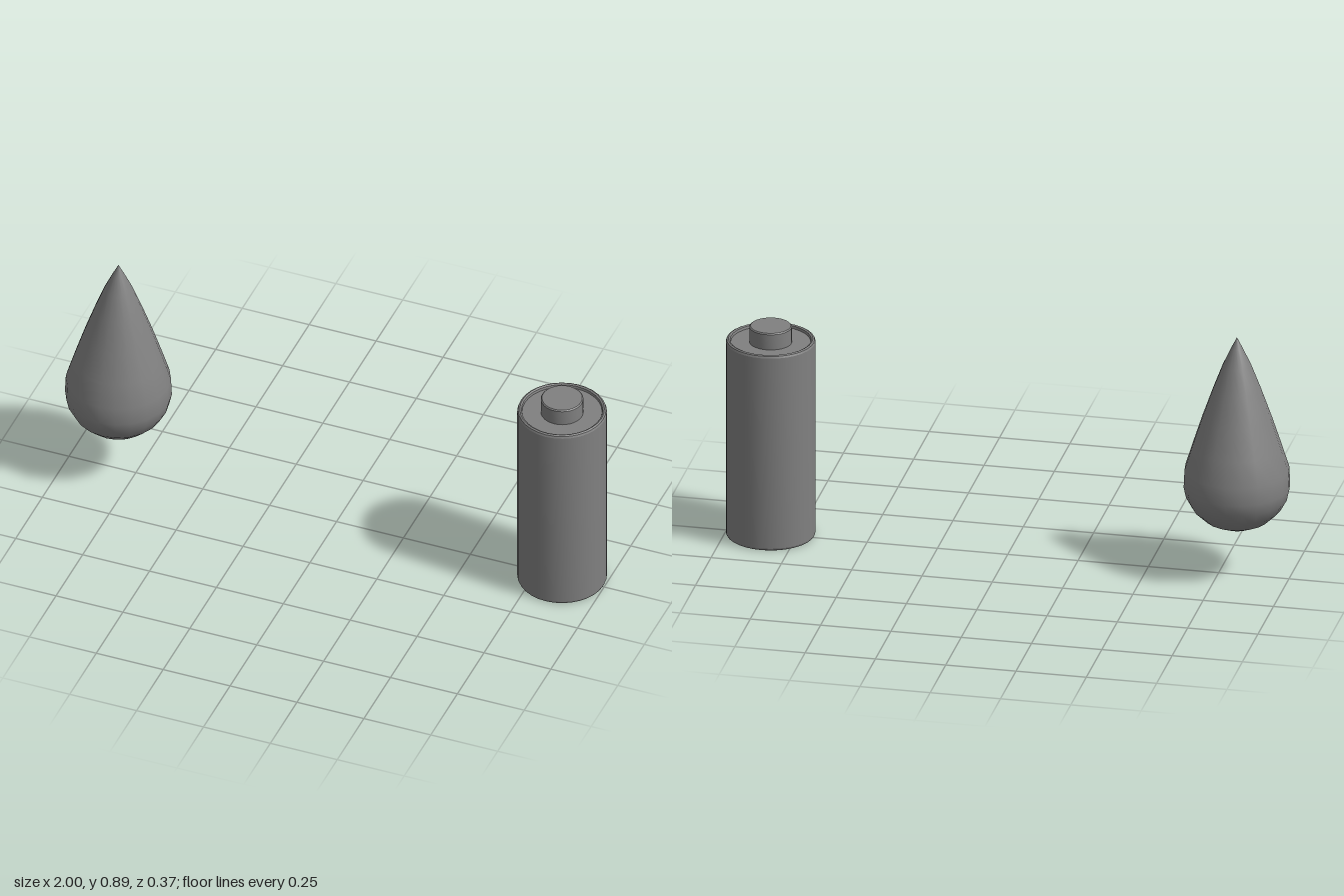
import * as THREE from 'three';
import { toCreasedNormals } from 'three/addons/utils/BufferGeometryUtils.js';

const material = new THREE.MeshStandardMaterial({ color: 0x808080 });

// Revolve [radius, height] pairs, listed from bottom to top
function lathe(name, profile, sides, x, crease) {
  const points = profile.map(([r, y]) => new THREE.Vector2(r, y));
  let geometry = new THREE.LatheGeometry(points, sides);
  if (crease) geometry = toCreasedNormals(geometry, crease);
  const mesh = new THREE.Mesh(geometry, material);
  mesh.name = name;
  mesh.position.x = x;
  return mesh;
}

export function createModel() {
  const model = new THREE.Group();
  model.name = 'dropAndBattery';

  // Teardrop: round bottom, tapering to a sharp tip
  model.add(lathe('waterDrop', [
    [0, 0.178], [0.058, 0.187], [0.111, 0.212], [0.154, 0.253], [0.177, 0.295],
    [0.186, 0.335], [0.183, 0.4], [0.156, 0.487], [0.122, 0.592],
    [0.084, 0.7], [0.05, 0.79], [0.02, 0.855], [0, 0.895],
  ], 20, -0.815));

  // Battery can: rounded edges and a slightly recessed top
  const battery = new THREE.Group();
  battery.name = 'battery';
  battery.position.x = 0.843;
  battery.add(lathe('batteryCan', [
    [0, 0], [0.147, 0], [0.153, 0.003], [0.156, 0.01],
    [0.156, 0.728], [0.153, 0.735], [0.147, 0.738],
    [0.141, 0.735], [0.139, 0.726], [0, 0.726],
  ], 32, 0, 0.3));

  // Raised contact on top
  battery.add(lathe('batteryContact', [
    [0.074, 0.722], [0.074, 0.783], [0.07, 0.787], [0, 0.787],
  ], 32, 0, 0.3));

  model.add(battery);
  return model;
}
